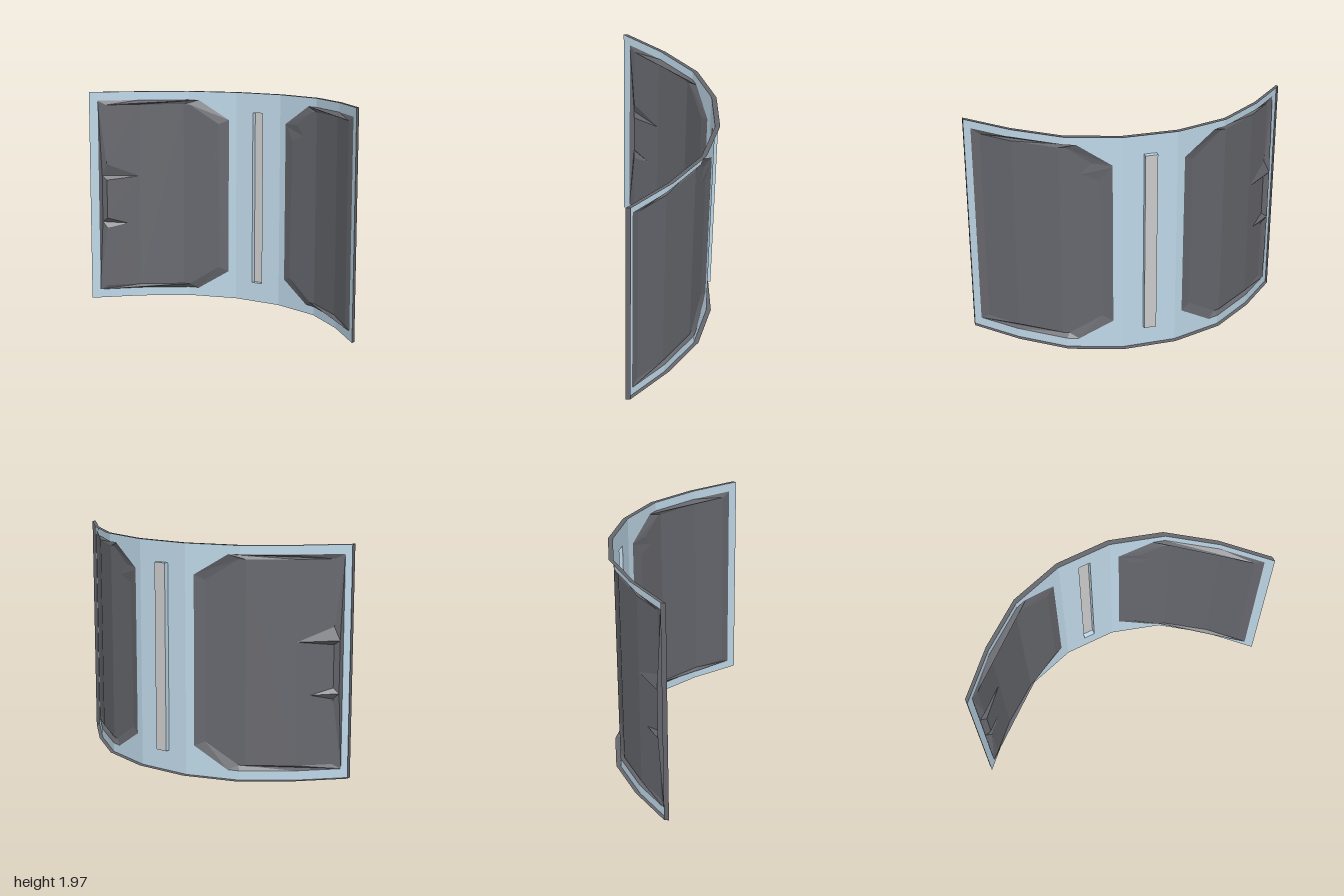
import * as THREE from 'three';

const H = 1.97;            // wall height
const D = 0.03;            // depth of the rim, along (+x, -z)
const GLASS = 0xbfd8e8, DARK = 0x66676d;

// Half of the folded sheet in plan [x, z]; the other half is its diagonal mirror
const WALL = [[-1, -0.97], [-0.53, -0.97], [-0.07, -0.9], [0.345, -0.68]];
const FLOOR = [[-0.845, -0.955], [-0.53, -0.955], [-0.12, -0.89], [0.19, -0.74]];

function zAt(line, x) {
  let i = 0;
  while (i < line.length - 2 && x > line[i + 1][0]) i++;
  const [a, b] = [line[i], line[i + 1]];
  return a[1] + (b[1] - a[1]) * (x - a[0]) / (b[0] - a[0]);
}
const onWall = ([x, y]) => [x, y, zAt(WALL, x)];
const onFloor = ([x, y, z]) => [x, y, z ?? zAt(FLOOR, x)];

// Collects flat-sided faces into one mesh
class Faces {
  constructor(mirrored = false) { this.pos = []; this.mirrored = mirrored; }
  tri(a, b, c) {
    const list = this.mirrored ? [a, c, b].map(([x, y, z]) => [-z, y, -x]) : [a, b, c];
    list.forEach(p => this.pos.push(...p));
  }
  quad(a, b, c, d) { this.tri(a, b, c); this.tri(a, c, d); }
  // Polygon triangulated as seen from the front
  patch(pts) {
    const flat = pts.map(p => new THREE.Vector2(p[0], p[1]));
    if (THREE.ShapeUtils.isClockWise(flat)) { pts = [...pts].reverse(); flat.reverse(); }
    for (const [a, b, c] of THREE.ShapeUtils.triangulateShape(flat, [])) this.tri(pts[a], pts[b], pts[c]);
  }
  mesh(name, color) {
    const g = new THREE.BufferGeometry();
    g.setAttribute('position', new THREE.Float32BufferAttribute(this.pos, 3));
    g.computeVertexNormals();
    const m = new THREE.Mesh(g, new THREE.MeshStandardMaterial({ color, flatShading: true, side: THREE.DoubleSide }));
    m.name = name;
    return m;
  }
}

// Half of the sheet, left open where the sunken panel sits
function sheetHalf(mirrored) {
  const f = new Faces(mirrored);
  const column = (x0, x1, a0, a1, b0, b1) =>
    f.patch([[x0, a0], [x1, a1], [x1, b1], [x0, b0]].map(onWall));
  column(-1, -0.92, 0, 0, H, H);
  const edge = [[-0.92, 0.08, 1.89], [-0.53, 0.08, 1.89], [-0.07, 0.08, 1.89], [0.02, 0.08, 1.89], [0.28, 0.26, 1.71]];
  for (let i = 0; i < edge.length - 1; i++) {
    const [x0, lo0, hi0] = edge[i], [x1, lo1, hi1] = edge[i + 1];
    column(x0, x1, 0, 0, lo0, lo1);
    column(x0, x1, hi0, hi1, H, H);
  }
  column(0.28, 0.345, 0, 0, H, H);
  return f.mesh(mirrored ? 'leftSheet' : 'rightSheet', GLASS);
}

// Sunken panel. An edge point [x, y, z, tipX, tipY] is a dent running in to a tip.
function panel(mirrored, left, right, diagonal) {
  const f = new Faces(mirrored);
  const tip = p => onFloor(p.length === 5 ? [p[3], p[4]] : p);
  const rim = p => onFloor([p[0], p[1], p[2]]);
  const row = y => [-0.845, -0.53, -0.12, -0.07].map(x => [x, y]);
  const outerRow = y => [-0.92, -0.53, -0.07, 0.02].map(x => [x, y]);
  const leftEdge = [[-0.845, 1.85], ...left, [-0.845, 0.12]];
  const corner = right[right.length - 1];
  const rightEdge = [[-0.07, 0.12], ...right, ...diagonal, [-0.07, 1.85]];

  // Floor in folded columns
  f.patch([...leftEdge, [-0.53, 0.12], [-0.53, 1.85]].map(tip));
  f.patch([[-0.53, 0.12], [-0.12, 0.12], [-0.12, 1.85], [-0.53, 1.85]].map(tip));
  f.patch([[-0.12, 0.12], ...rightEdge, [-0.12, 1.85]].map(tip));

  // Dents
  for (const edge of [leftEdge, rightEdge]) edge.forEach((p, i) => {
    if (p.length !== 5) return;
    f.patch([rim(edge[i - 1]), rim(p), tip(p)]);
    f.patch([rim(p), rim(edge[i + 1]), tip(p)]);
  });

  // Bevels from the sheet to the floor
  const bevel = (outer, inner) => f.patch([...outer.map(onWall), ...inner.map(rim).reverse()]);
  bevel(outerRow(0.08), row(0.12));
  bevel(outerRow(1.89), row(1.85));
  bevel([[-0.92, 1.89], [-0.92, 0.08]], leftEdge);
  bevel([[0.02, 0.08], [0.28, 0.26]], [[-0.07, 0.12], right[0]]);
  bevel([[0.28, 0.26], [0.28, 1.71]], right);
  bevel([[0.28, 1.71], [0.02, 1.89]], [corner, ...diagonal, [-0.07, 1.85]]);
  return f.mesh(mirrored ? 'leftPanel' : 'rightPanel', DARK);
}

export function createModel() {
  const group = new THREE.Group();
  group.name = 'curvedShieldWall';

  group.add(sheetHalf(false), sheetHalf(true));
  group.add(panel(false,
    [[-0.845, 1.29], [-0.885, 1.18, -0.995, -0.535, 1.17], [-0.845, 1.14],
      [-0.845, 0.775], [-0.885, 0.735, -0.995, -0.65, 0.72], [-0.845, 0.68]],
    [[0.19, 0.3], [0.19, 1.01], [0.13, 1.23], [0.19, 1.38], [0.19, 1.67]], []));
  group.add(panel(true,
    [[-0.845, 1.45], [-0.8, 1.2], [-0.845, 0.89]],
    [[0.19, 0.3], [0.17, 1.57], [0.27, 1.69, -0.72, 0.03, 1.62]], [[0.12, 1.72]]));

  // Middle fold with an outward channel
  const mid = new Faces();
  const x0 = 0.345, x1 = 0.68, s0 = 0.4725, s1 = 0.5475, y0 = 0.18, y1 = 1.79;
  const at = (x, y, d = 0) => [x + d, y, x - 1.025 - d];
  const rect = (a, b, lo, hi) => mid.quad(at(a, lo), at(b, lo), at(b, hi), at(a, hi));
  rect(x0, s0, 0, H);
  rect(s1, x1, 0, H);
  rect(s0, s1, 0, y0);
  rect(s0, s1, y1, H);
  const loop = [[s0, y0], [s1, y0], [s1, y1], [s0, y1]];
  loop.forEach((p, i) => {
    const q = loop[(i + 1) % 4];
    mid.quad(at(...p), at(...q), at(...q, D), at(...p, D));
  });
  group.add(mid.mesh('middleSheet', GLASS));

  const strip = new Faces();
  strip.quad(...loop.map(p => at(...p, D)));
  group.add(strip.mesh('lightStrip', 0xcccccc));

  // Rim flange around the whole sheet, standing out on the convex side
  const rim = new Faces();
  const line = [...WALL, ...WALL.map(([x, z]) => [-z, -x]).reverse()];
  const inner = ([x, z], y) => [x, y, z];
  const outer = ([x, z], y) => [x + D, y, z - D];
  for (let i = 0; i < line.length - 1; i++) {
    const p = line[i], q = line[i + 1];
    rim.quad(inner(p, H), inner(q, H), outer(q, H), outer(p, H));
    rim.quad(inner(p, 0), outer(p, 0), outer(q, 0), inner(q, 0));
  }
  const a = line[0], b = line[line.length - 1];
  rim.quad(inner(a, 0), inner(a, H), outer(a, H), outer(a, 0));
  rim.quad(inner(b, 0), outer(b, 0), outer(b, H), inner(b, H));
  group.add(rim.mesh('rim', DARK));

  return group;
}
